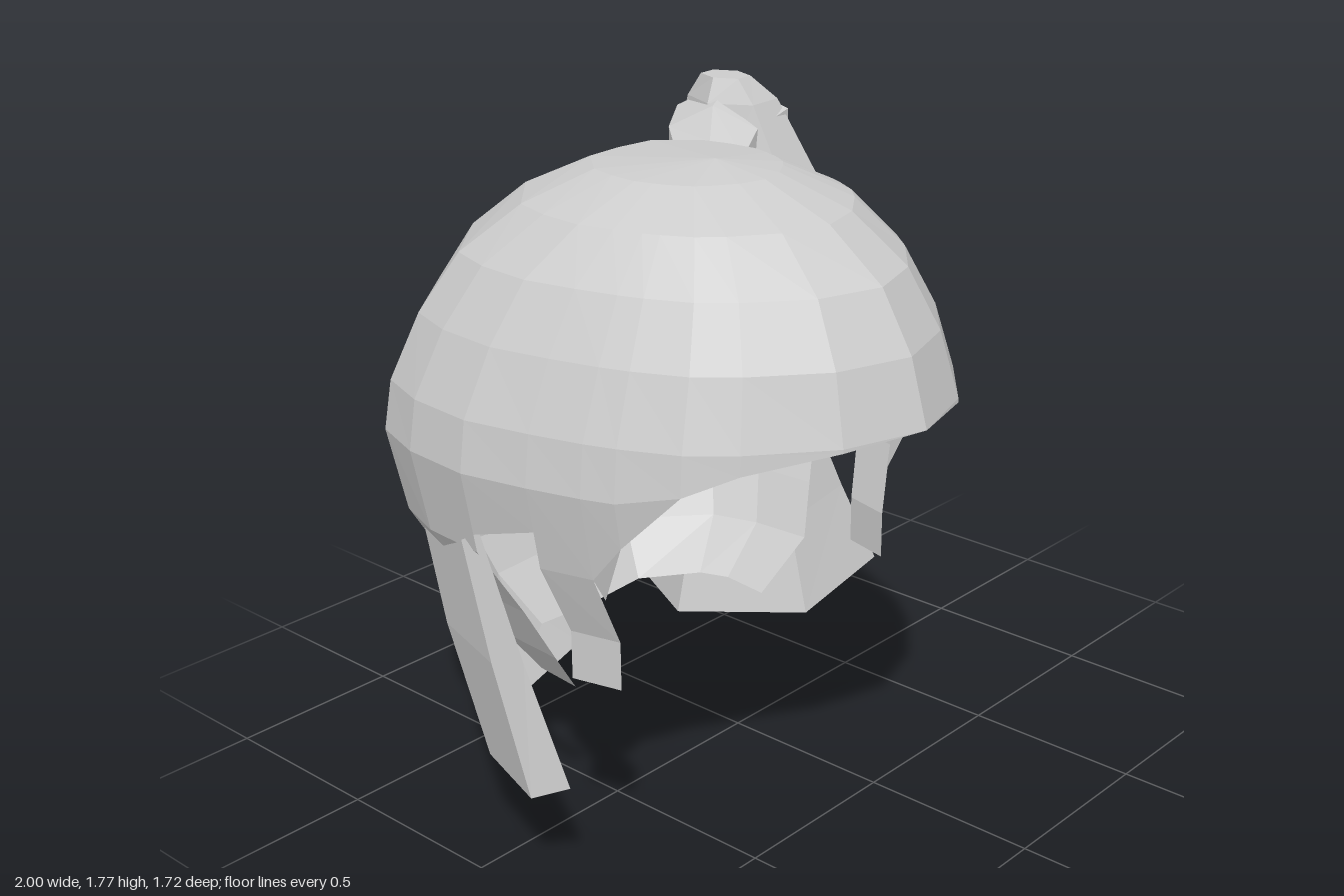
import * as THREE from 'three';

const hair = new THREE.MeshStandardMaterial({ color: 0xcccccc, flatShading: true, side: THREE.DoubleSide });
hair.name = 'hair grey';

// Sheet of quads through rows of points; wrap joins the last column to the first
function sheet(name, rows, wrap = false) {
  const pos = [];
  for (let r = 0; r + 1 < rows.length; r++) {
    const n = rows[r].length;
    for (let c = 0; c < (wrap ? n : n - 1); c++) {
      const d = (c + 1) % n;
      addQuad(pos, rows[r][c], rows[r + 1][c], rows[r + 1][d], rows[r][d]);
    }
  }
  return toMesh(name, pos);
}

function addQuad(pos, a, b, c, d) {
  for (const t of [[a, b, c], [a, c, d]]) {
    const [p, q, r] = t.map(v => new THREE.Vector3(...v));
    const area = q.clone().sub(p).cross(r.clone().sub(p)).length();
    if (area > 1e-6) pos.push(...t.flat());
  }
}

function toMesh(name, pos) {
  const g = new THREE.BufferGeometry();
  g.setAttribute('position', new THREE.Float32BufferAttribute(pos, 3));
  g.computeVertexNormals();
  const m = new THREE.Mesh(g, hair);
  m.name = name;
  return m;
}

// Cap levels: y, half width, front z, back z, z of the widest point
const LEVELS = [
  [1.77, 0, 0.2, 0.2, 0.2], [1.745, 0.22, 0.36, -0.13, 0.12], [1.67, 0.39, 0.56, -0.28, 0.08],
  [1.55, 0.51, 0.72, -0.42, 0.0], [1.4, 0.6, 0.81, -0.51, -0.04], [1.23, 0.67, 0.86, -0.57, -0.07],
  [1.1, 0.69, 0.87, -0.59, -0.07], [0.88, 0.65, 0.87, -0.54, -0.07], [0.7, 0.555, 0.87, -0.47, -0.01],
  [0.56, 0.49, 0.87, -0.4, 0.03], [0.41, 0.37, 0.85, -0.28, -0.03],
];
// Half plan of the cap at its widest, from front centre to back centre
const PLAN = [[0, 0.86], [0.23, 0.79], [0.42, 0.64], [0.51, 0.54], [0.58, 0.4], [0.61, 0.32], [0.65, 0.18],
  [0.69, 0], [0.675, -0.2], [0.62, -0.36], [0.35, -0.57], [0, -0.59]];
// Lower edge of each strip between neighbouring plan points
const EDGES = [[1.23, 1.22], [1.22, 1.18], [1.18, 1.13], [1.13, 0.98], [0.98, 0.82], [0.57, 0.57], [0.98, 0.93],
  [0.4, 0.42], [0.42, 0.42], [0.42, 0.42], [0.42, 0.4]];
const CAP_X = -0.31;

function levelAt(y) {
  let i = 0;
  while (i < LEVELS.length - 2 && y < LEVELS[i + 1][0]) i++;
  const a = LEVELS[i], b = LEVELS[i + 1];
  const t = Math.min(1, (a[0] - y) / (a[0] - b[0]));
  return a.map((v, k) => v + (b[k] - v) * t);
}

function capPoint(col, y, side) {
  const [px, pz] = PLAN[col];
  const [, half, front, back, mid] = levelAt(col <= 6 ? Math.max(y, 0.75) : y);
  const f = (pz + 0.07) / (pz > -0.07 ? 0.93 : 0.52);
  const z = mid + f * (f > 0 ? front - mid : mid - back);
  return [CAP_X + side * px / 0.69 * half, y, z];
}

function makeCap() {
  const pos = [];
  for (const side of [1, -1]) {
    EDGES.forEach(([ea, eb], c) => {
      for (let r = 0; r + 1 < LEVELS.length; r++) {
        const y0 = LEVELS[r][0], y1 = LEVELS[r + 1][0];
        const q = [
          capPoint(c, Math.max(y0, ea), side), capPoint(c, Math.max(y1, ea), side),
          capPoint(c + 1, Math.max(y1, eb), side), capPoint(c + 1, Math.max(y0, eb), side),
        ];
        if (side < 0) q.reverse();
        // outward winding
        addQuad(pos, q[0], q[1], q[2], q[3]);
      }
    });
  }
  return toMesh('hairCap', pos);
}

// Six-sided ponytail hanging at the left: y, centre x, centre z, radius x, radius z, tilt
function makePonytail() {
  const rings = [
    [1.76, 0.49, -0.48, 0.06, 0.08, 0], [1.69, 0.52, -0.48, 0.12, 0.14, 0], [1.43, 0.55, -0.45, 0.18, 0.26, 0],
    [1.2, 0.555, -0.46, 0.18, 0.25, 0], [0.86, 0.52, -0.47, 0.17, 0.19, 0], [0.44, 0.59, -0.48, 0.28, 0.31, 0.1],
    [0.17, 0.62, -0.49, 0.38, 0.41, 0.13], [0, 0.66, -0.45, 0, 0, 0],
  ];
  const rows = rings.map(([y, cx, cz, rx, rz, tilt]) => Array.from({ length: 6 }, (_, i) => {
    const a = -i * Math.PI / 3 + 0.07;
    const x = rx * Math.cos(a);
    return [cx + x, y + tilt * x, cz - rz * Math.sin(a)];
  }));
  rows.unshift(rows[0].map(() => [0.49, 1.76, -0.48]));
  return sheet('ponytail', rows.reverse().map(r => r.reverse()).reverse().map(r => r.reverse()), true);
}

// Short gathered neck joining the cap and the ponytail: centre, half width, half height
function makeNeck() {
  const rings = [[0.16, 1.47, -0.27, 0.15, 0.12], [0.31, 1.52, -0.38, 0.11, 0.09],
    [0.39, 1.56, -0.44, 0.15, 0.13], [0.52, 1.58, -0.48, 0.19, 0.16]];
  const rows = rings.map(([x, y, z, w, h]) => Array.from({ length: 6 }, (_, i) => {
    const a = (i + 0.5) * Math.PI / 3;
    const s = w * Math.cos(a);
    return [x + 0.54 * s, y + h * Math.sin(a), z + 0.84 * s];
  }));
  return sheet('ponytailNeck', rows, true);
}

// Loose lock hanging behind the right side
function makeBackLock() {
  return sheet('backLock', [
    [[-0.32, 0.87, -0.5], [-0.62, 0.87, -0.46], [-0.88, 0.87, -0.3], [-0.965, 0.9, -0.05], [-0.95, 0.93, 0]],
    [[-0.32, 0.6, -0.44], [-0.65, 0.6, -0.42], [-0.9, 0.6, -0.2], [-0.975, 0.6, 0.05], [-0.95, 0.62, 0.14]],
    [[-0.32, 0.28, -0.32], [-0.66, 0.27, -0.22], [-0.89, 0.26, -0.07], [-0.98, 0.27, 0.18], [-0.94, 0.32, 0.28]],
  ].map(r => r.reverse()));
}

export function createModel() {
  const model = new THREE.Group();
  model.name = 'hairstyle';
  model.add(makeCap(), makePonytail(), makeNeck(), makeBackLock());
  return model;
}
